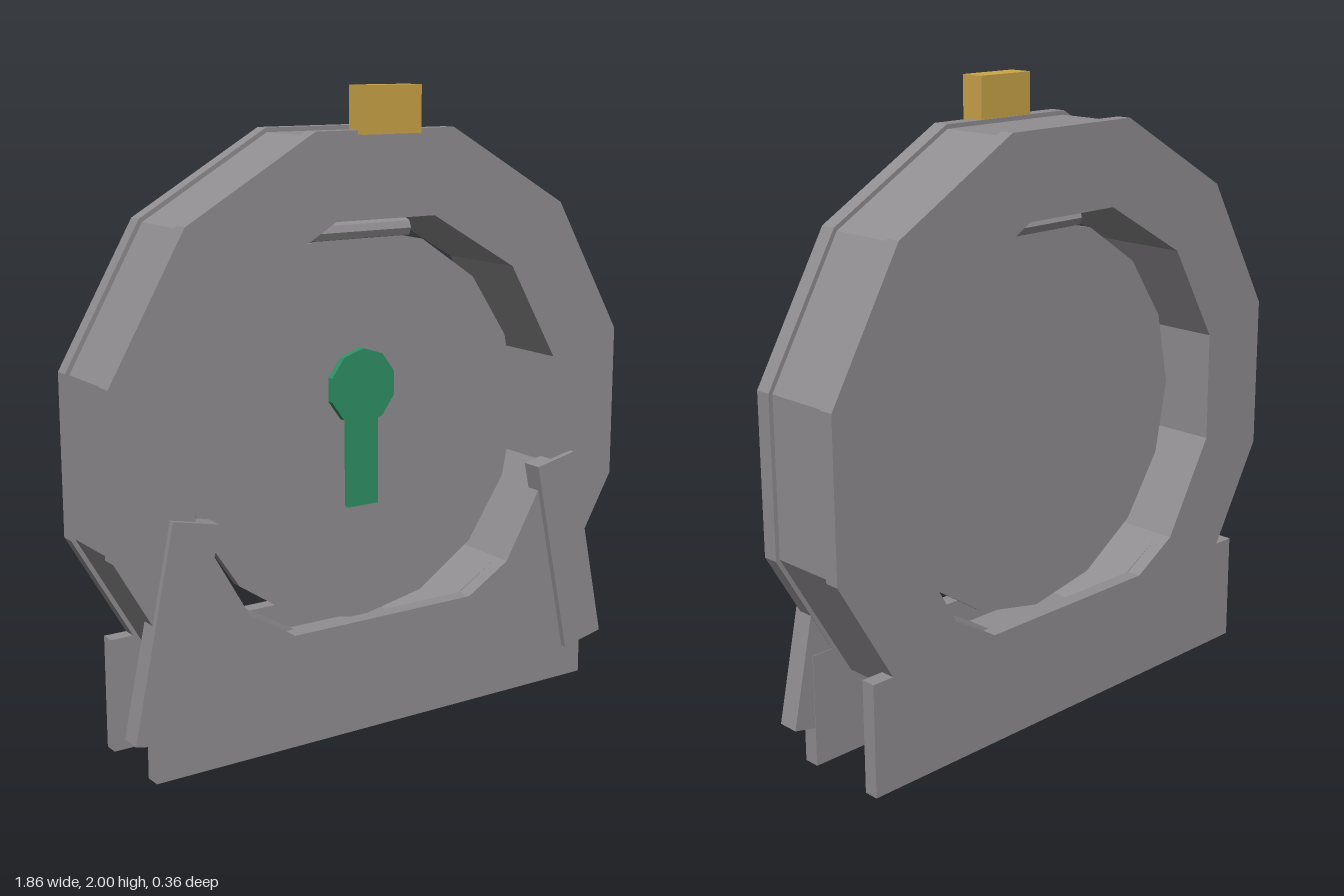
import * as THREE from 'three';

const CY = 0.94; // height of the ring centre

// Corner points of a regular polygon
function polygon(sides, radius, cx, cy, startDeg) {
  return Array.from({ length: sides }, (_, i) => {
    const a = THREE.MathUtils.degToRad(startDeg + (i * 360) / sides);
    return new THREE.Vector2(cx + radius * Math.cos(a), cy + radius * Math.sin(a));
  });
}

export function createModel() {
  const group = new THREE.Group();
  const steel = new THREE.MeshStandardMaterial({ color: 0x918e91, flatShading: true });
  steel.name = 'greySteel';
  const gold = new THREE.MeshStandardMaterial({ color: 0xcba548, flatShading: true });
  gold.name = 'gold';
  const green = new THREE.MeshStandardMaterial({ color: 0x2f9166, flatShading: true });
  green.name = 'green';

  const add = (name, geometry, material) => {
    const mesh = new THREE.Mesh(geometry, material);
    mesh.name = name;
    group.add(mesh);
    return mesh;
  };
  // Outline in x/y, extruded between two z values
  const slab = (name, points, z0, z1, material, hole) => {
    const shape = new THREE.Shape(points);
    if (hole) shape.holes.push(new THREE.Path(hole));
    const geometry = new THREE.ExtrudeGeometry(shape, { depth: z1 - z0, bevelEnabled: false });
    geometry.translate(0, 0, z0);
    return add(name, geometry, material);
  };
  const box = (name, w, h, d, x, y, z, material) => {
    const mesh = add(name, new THREE.BoxGeometry(w, h, d), material);
    mesh.position.set(x, y, z);
    return mesh;
  };

  // Face plates: twelve-sided ring joined to a rectangular foot
  const footTop = 0.36;
  const footHalf = 0.813;
  const ring = polygon(12, 0.963, 0, CY, -15).filter((p) => p.y > footTop);
  const low = -Math.PI / 6; // the lowest exposed ring edge faces this way
  const joinX = (0.963 * Math.cos(Math.PI / 12) - (footTop - CY) * Math.sin(low)) / Math.cos(low);
  const plateOutline = [
    new THREE.Vector2(-footHalf, footTop), new THREE.Vector2(-footHalf, 0),
    new THREE.Vector2(footHalf, 0), new THREE.Vector2(footHalf, footTop),
    new THREE.Vector2(joinX, footTop),
    ...ring.sort((a, b) => Math.atan2(a.x, CY - a.y) - Math.atan2(b.x, CY - b.y))
      .filter((p) => p.x > 0).sort((a, b) => a.y - b.y),
    ...ring.filter((p) => p.x < 0).sort((a, b) => b.y - a.y),
    new THREE.Vector2(-joinX, footTop),
  ];
  const opening = polygon(12, 0.69, 0, CY, -45).filter((p) => p.y > footTop);
  const plateHole = [new THREE.Vector2(0.333, footTop), ...opening, new THREE.Vector2(-0.333, footTop)];
  slab('frontPlate', plateOutline, 0.095, 0.147, steel, plateHole);
  slab('backPlate', plateOutline, -0.18, -0.132, steel, plateHole);

  // Slightly smaller ring between the plates
  slab('ringCore', polygon(12, 0.949, 0, CY, -15), -0.132, 0.095, steel, polygon(12, 0.69, 0, CY, -15));

  // Round door hanging from a hinge rod
  slab('door', polygon(16, 0.625, 0, CY, 0), -0.032, 0.003, steel);
  const hinge = add('hingeRod', new THREE.CylinderGeometry(0.031, 0.031, 0.37, 8), steel);
  hinge.rotation.z = Math.PI / 2;
  hinge.position.set(0, 1.557, -0.015);

  // Keyhole on the door
  slab('keyholeHead', polygon(10, 0.122, 0, 1.073, 90), 0.003, 0.025, green);
  box('keyholeSlot', 0.112, 0.33, 0.022, 0, 0.857, 0.014, green);

  // Leaning struts on both sides of the foot
  for (const side of [-1, 1]) {
    const strut = box(side > 0 ? 'leftStrut' : 'rightStrut', 0.155, 0.665, 0.07, side * 0.742, 0.45, 0.132, steel);
    strut.rotation.z = side * 0.208;
  }

  // Gold block on top
  box('topBlock', 0.206, 0.142, 0.08, 0, 1.929, 0.139, gold);

  return group;
}
